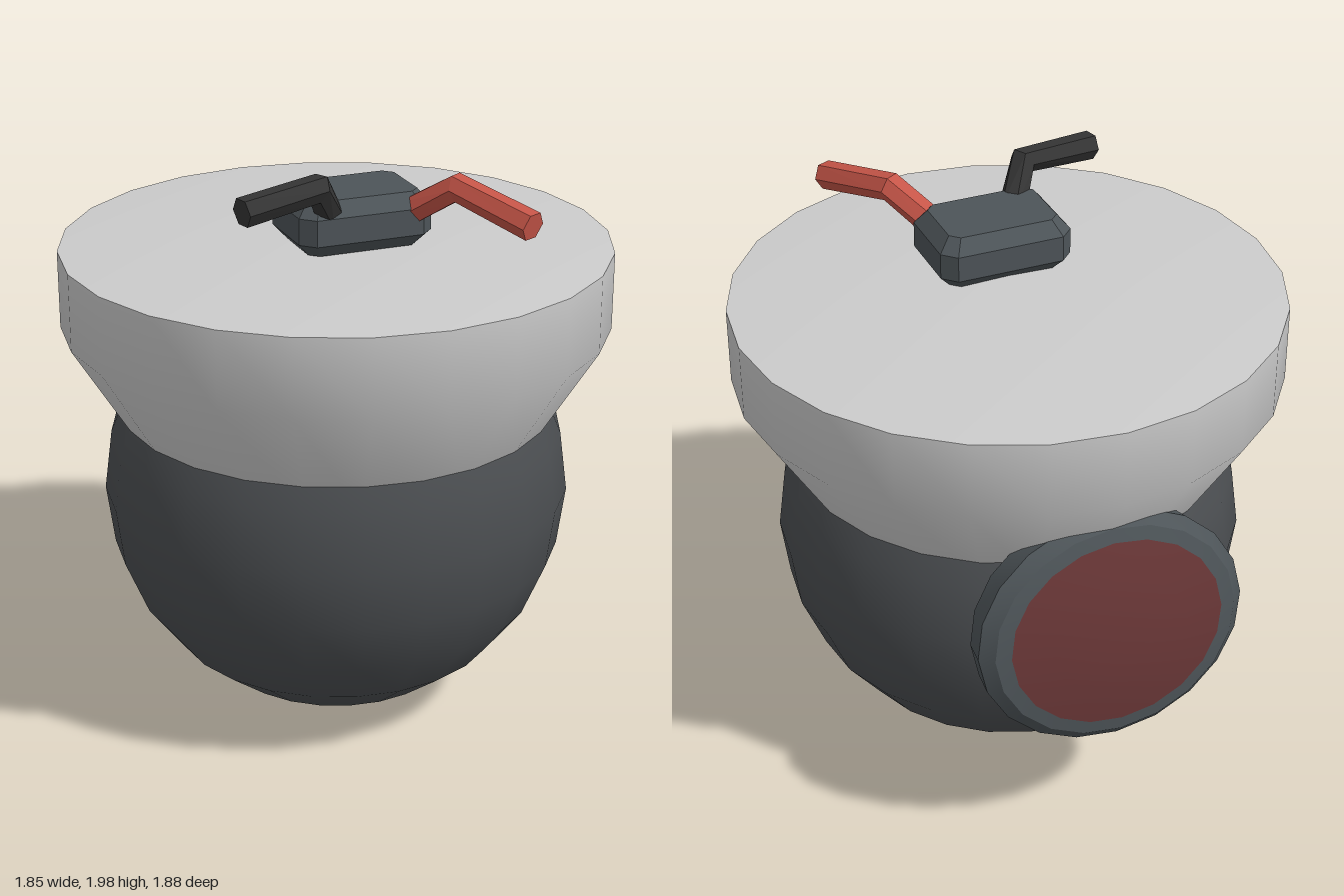
import * as THREE from 'three';
import { toCreasedNormals } from 'three/addons/utils/BufferGeometryUtils.js';

const V = (x, y, z) => new THREE.Vector3(x, y, z);

function material(color, flatShading = false) {
  return new THREE.MeshStandardMaterial({ color, flatShading });
}

function mesh(name, geometry, mat) {
  const m = new THREE.Mesh(geometry, mat);
  m.name = name;
  return m;
}

// Smooth turned body with sharp edges kept
function turned(profile, segments, crease) {
  const pts = profile.map(([r, y]) => new THREE.Vector2(r, y));
  return toCreasedNormals(new THREE.LatheGeometry(pts, segments), crease);
}

// Faceted solid through a list of rings (counter-clockwise seen from the last ring), capped at both ends
function loft(rings) {
  const n = rings[0].length, index = [], last = (rings.length - 1) * n;
  for (let i = 0; i < rings.length - 1; i++) {
    for (let j = 0; j < n; j++) {
      const a = i * n + j, b = i * n + (j + 1) % n;
      index.push(a, b, b + n, a, b + n, a + n);
    }
  }
  for (let j = 1; j < n - 1; j++) {
    index.push(0, j + 1, j, last, last + j, last + j + 1);
  }
  const g = new THREE.BufferGeometry().setFromPoints(rings.flat());
  g.setIndex(index);
  const flat = g.toNonIndexed();
  flat.computeVertexNormals();
  return flat;
}

// Rectangle with cut corners, at height y
function cutRectangle(w, d, cut, y, zMid) {
  return [[w, cut - d], [w, d - cut], [w - cut, d], [cut - w, d], [-w, d - cut], [-w, cut - d], [cut - w, -d], [w - cut, -d]]
    .reverse().map(([x, z]) => V(x, y, zMid + z));
}

// Six-sided bent rod with mitred joints
function bentRod(path, radius) {
  const rings = path.map((p, i) => {
    const before = path[Math.max(i - 1, 0)], after = path[Math.min(i + 1, path.length - 1)];
    const d1 = p.clone().sub(before).normalize(), d2 = after.clone().sub(p).normalize();
    const dir = d1.add(d2).normalize();
    const side = dir.clone().cross(V(0, 1, 0)).normalize();
    const up = side.clone().cross(dir);
    return Array.from({ length: 6 }, (_, k) => {
      const t = -k * Math.PI / 3;
      return p.clone().addScaledVector(side, radius * Math.cos(t)).addScaledVector(up, radius * Math.sin(t));
    });
  });
  return loft(rings);
}

export function createModel() {
  const model = new THREE.Group();
  const charcoal = 0x4b4e51, slate = 0x4d5458;

  // Round lower body
  const body = mesh('body', new THREE.SphereGeometry(0.797, 24, 12), material(charcoal));
  body.position.set(0, 0.805, 0.01);
  model.add(body);

  // Flared cap with a shallow cone on top
  const cap = mesh('cap', turned([[0, 0.98], [0.67, 0.98], [0.925, 1.395], [0.925, 1.66], [0, 1.72]], 24, 0.8), material(0xcccccc));
  cap.position.z = 0.01;
  model.add(cap);

  // Chamfered block on the cap
  const block = loft([
    cutRectangle(0.19, 0.125, 0.03, 1.705, 0.145),
    cutRectangle(0.23, 0.165, 0.045, 1.75, 0.145),
    cutRectangle(0.23, 0.165, 0.045, 1.838, 0.145),
    cutRectangle(0.19, 0.125, 0.03, 1.887, 0.145),
  ]);
  model.add(mesh('topBlock', block, material(slate, true)));

  // Two bent levers
  model.add(mesh('rightLever', bentRod([V(-0.11, 1.82, 0.24), V(-0.19, 1.953, 0.33), V(-0.47, 1.926, 0.4)], 0.049), material(0x343434, true)));
  model.add(mesh('leftLever', bentRod([V(0.15, 1.81, 0.25), V(0.265, 1.92, 0.385), V(0.395, 1.858, 0.67)], 0.049), material(0xc65548, true)));

  // Tilted oval hatch on the back: bevelled rim and domed panel
  const hatch = new THREE.Group();
  hatch.name = 'backHatch';
  hatch.add(mesh('hatchRim', turned([[0, -0.17], [0.23, -0.165], [0.34, -0.12], [0.39, -0.1], [0.402, 0], [0.365, 0.04], [0.32, 0.05]], 20, 0.35), material(slate)));
  hatch.add(mesh('hatchPanel', turned([[0.32, 0.05], [0.2, 0.073], [0.1, 0.082], [0, 0.085]], 20, 0.6), material(0x683636)));
  hatch.scale.x = 1.15;
  hatch.rotation.x = -1.422;
  hatch.position.set(0, 0.88, -0.84);
  model.add(hatch);

  return model;
}
